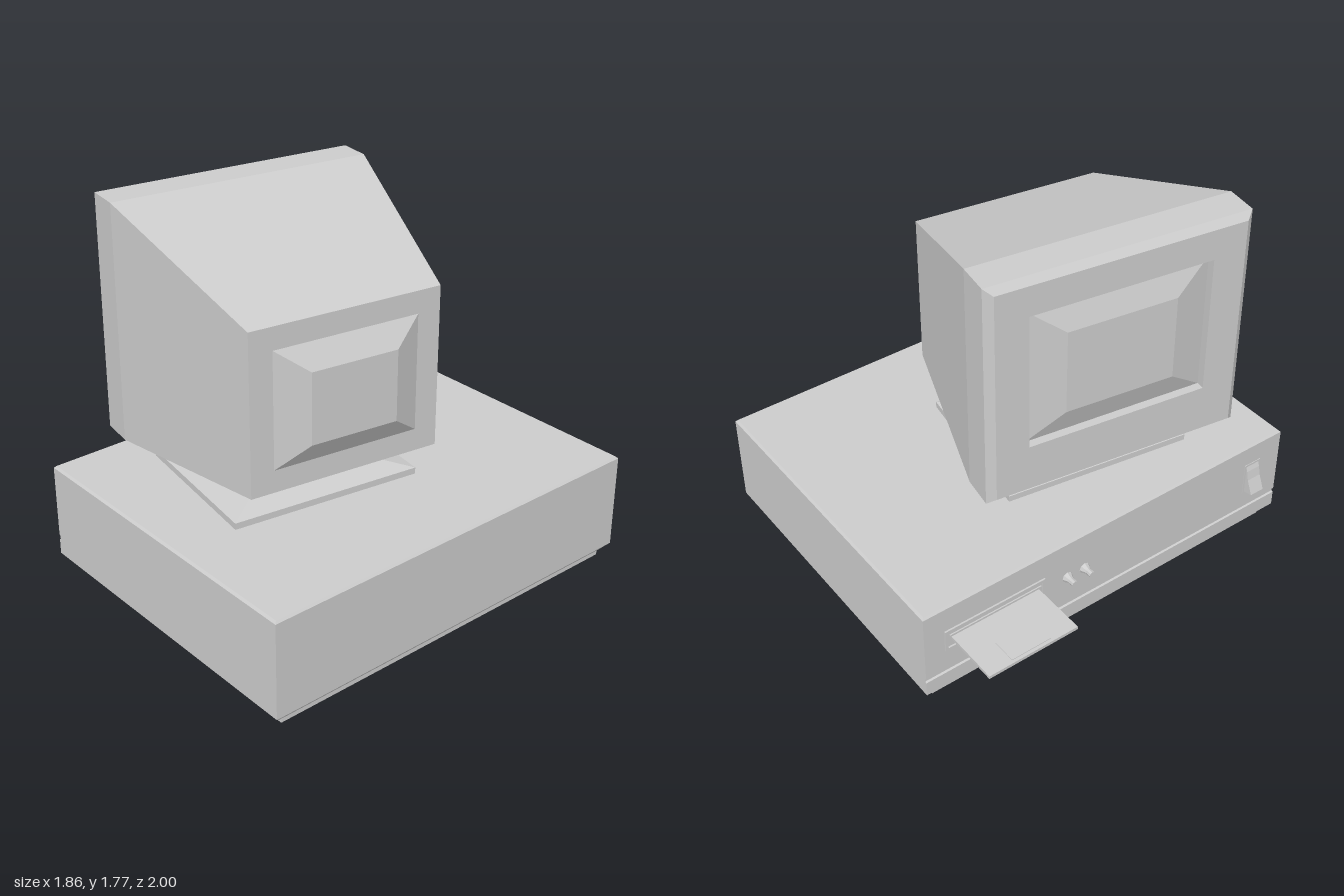
import * as THREE from 'three';

const material = new THREE.MeshStandardMaterial({ color: 0xcccccc, flatShading: true });

function add(parent, name, geometry, x = 0, y = 0, z = 0) {
  const mesh = new THREE.Mesh(geometry, material);
  mesh.name = name;
  mesh.position.set(x, y, z);
  parent.add(mesh);
  return mesh;
}

// Box spanning the given limits
function addBox(parent, name, x0, x1, y0, y1, z0, z1) {
  return add(parent, name, new THREE.BoxGeometry(x1 - x0, y1 - y0, z1 - z0),
    (x0 + x1) / 2, (y0 + y1) / 2, (z0 + z1) / 2);
}

// Joins rectangles [t, p0, p1, q0, q1] stacked along x (p = y, q = z) or along y (p = z, q = x)
function loft(axis, sections) {
  const rings = sections.map(([t, p0, p1, q0, q1]) =>
    [[p0, q0], [p1, q0], [p1, q1], [p0, q1]].map(([p, q]) => (axis === 'x' ? [t, p, q] : [q, t, p])));
  const out = [];
  const quad = (a, b, c, d) => out.push(...a, ...b, ...c, ...a, ...c, ...d);
  for (let i = 0; i < rings.length - 1; i++) {
    for (let j = 0; j < 4; j++) {
      const k = (j + 1) % 4;
      quad(rings[i][j], rings[i][k], rings[i + 1][k], rings[i + 1][j]);
    }
  }
  const first = rings[0], last = rings[rings.length - 1];
  quad(first[3], first[2], first[1], first[0]);
  quad(last[0], last[1], last[2], last[3]);
  const geometry = new THREE.BufferGeometry();
  geometry.setAttribute('position', new THREE.Float32BufferAttribute(out, 3));
  geometry.computeVertexNormals();
  return geometry;
}

// Rectangular frame lying on the drive side of the case, raised toward -x
function frame(z0, z1, y0, y1, border, depth) {
  const rect = (a, b, c, d) => [[a, c], [b, c], [b, d], [a, d]].map(([x, y]) => new THREE.Vector2(x, y));
  const shape = new THREE.Shape(rect(z0, z1, y0, y1));
  shape.holes.push(new THREE.Path(rect(z0 + border, z1 - border, y0 + border, y1 - border)));
  return new THREE.ExtrudeGeometry(shape, { depth, bevelEnabled: false }).rotateY(-Math.PI / 2);
}

function buildCase() {
  const group = new THREE.Group();
  group.name = 'computerCase';
  const L = -0.66, R = 0.925;

  // Case with bevelled edges and a shallow groove along the drive side
  add(group, 'caseBody', loft('y', [
    [0.02, -0.96, 0.96, L + 0.035, R - 0.035],
    [0.06, -1, 1, L, R],
    [0.135, -1, 1, L, R],
    [0.14, -1, 1, L + 0.008, R],
    [0.155, -1, 1, L + 0.008, R],
    [0.16, -1, 1, L, R],
    [0.51, -1, 1, L, R],
    [0.52, -0.99, 0.99, L + 0.01, R - 0.01],
  ]));
  addBox(group, 'caseFoot', -0.62, 0.89, 0, 0.02, -0.95, 0.95);

  // Disk drive with a disk partly inserted
  add(group, 'driveFrame', frame(-0.9, -0.38, 0.27, 0.385, 0.014, 0.008), L);
  addBox(group, 'driveSlotLip', L - 0.006, L, 0.342, 0.352, -0.875, -0.4);
  addBox(group, 'disk', -0.93, L, 0.32, 0.335, -0.865, -0.41);
  addBox(group, 'diskLabel', -0.915, -0.8, 0.335, 0.338, -0.74, -0.54);

  // Two small knobs
  for (const z of [-0.255, -0.16]) {
    const knob = new THREE.Group();
    knob.name = 'knob';
    knob.position.set(L, 0.315, z);
    add(knob, 'knobCollar', new THREE.CylinderGeometry(0.015, 0.027, 0.025, 8).rotateZ(Math.PI / 2), -0.0125);
    add(knob, 'knobTip', new THREE.CylinderGeometry(0.015, 0.015, 0.03, 8).rotateZ(Math.PI / 2), -0.04);
    group.add(knob);
  }

  // Rocker power switch
  const profile = [[L, 0.4], [-0.67, 0.375], [-0.68, 0.33], [-0.71, 0.26], [L, 0.25]];
  const rocker = new THREE.Shape(profile.map(([x, y]) => new THREE.Vector2(x, y)));
  add(group, 'powerSwitch', new THREE.ExtrudeGeometry(rocker, { depth: 0.075, bevelEnabled: false }), 0, 0, 0.795);
  add(group, 'switchFrame', frame(0.785, 0.88, 0.24, 0.41, 0.01, 0.003), L);
  return group;
}

function buildMonitor() {
  const group = new THREE.Group();
  group.name = 'monitor';

  // Swivel stand
  add(group, 'standPlate', loft('y', [
    [0.52, -0.455, 0.455, -0.375, 0.375],
    [0.55, -0.455, 0.455, -0.375, 0.375],
    [0.63, -0.148, 0.148, -0.13, 0.13],
  ]));
  addBox(group, 'standNeck', -0.072, 0.072, 0.62, 0.71, -0.086, 0.086);

  // Housing: recessed screen opening, bevelled rim, tapered back
  add(group, 'monitorHousing', loft('x', [
    [-0.476, 0.93, 1.6, -0.43, 0.43],
    [-0.516, 0.93, 1.6, -0.43, 0.43],
    [-0.516, 0.7, 1.745, -0.585, 0.585],
    [-0.486, 0.67, 1.775, -0.622, 0.622],
    [-0.33, 0.67, 1.775, -0.622, 0.622],
    [0.515, 0.735, 1.475, -0.453, 0.453],
  ]));
  add(group, 'screen', loft('x', [
    [-0.523, 1.06, 1.47, -0.26, 0.26],
    [-0.476, 0.93, 1.6, -0.43, 0.43],
  ]));
  add(group, 'rearBulge', loft('x', [
    [0.51, 0.838, 1.372, -0.345, 0.345],
    [0.515, 0.838, 1.372, -0.345, 0.345],
    [0.58, 0.943, 1.27, -0.205, 0.205],
  ]));

  // Turned slightly on its stand
  group.position.z = 0.203;
  group.rotation.y = -0.154;
  return group;
}

export function createModel() {
  const model = new THREE.Group();
  model.name = 'desktopComputer';
  model.add(buildCase(), buildMonitor());
  return model;
}
